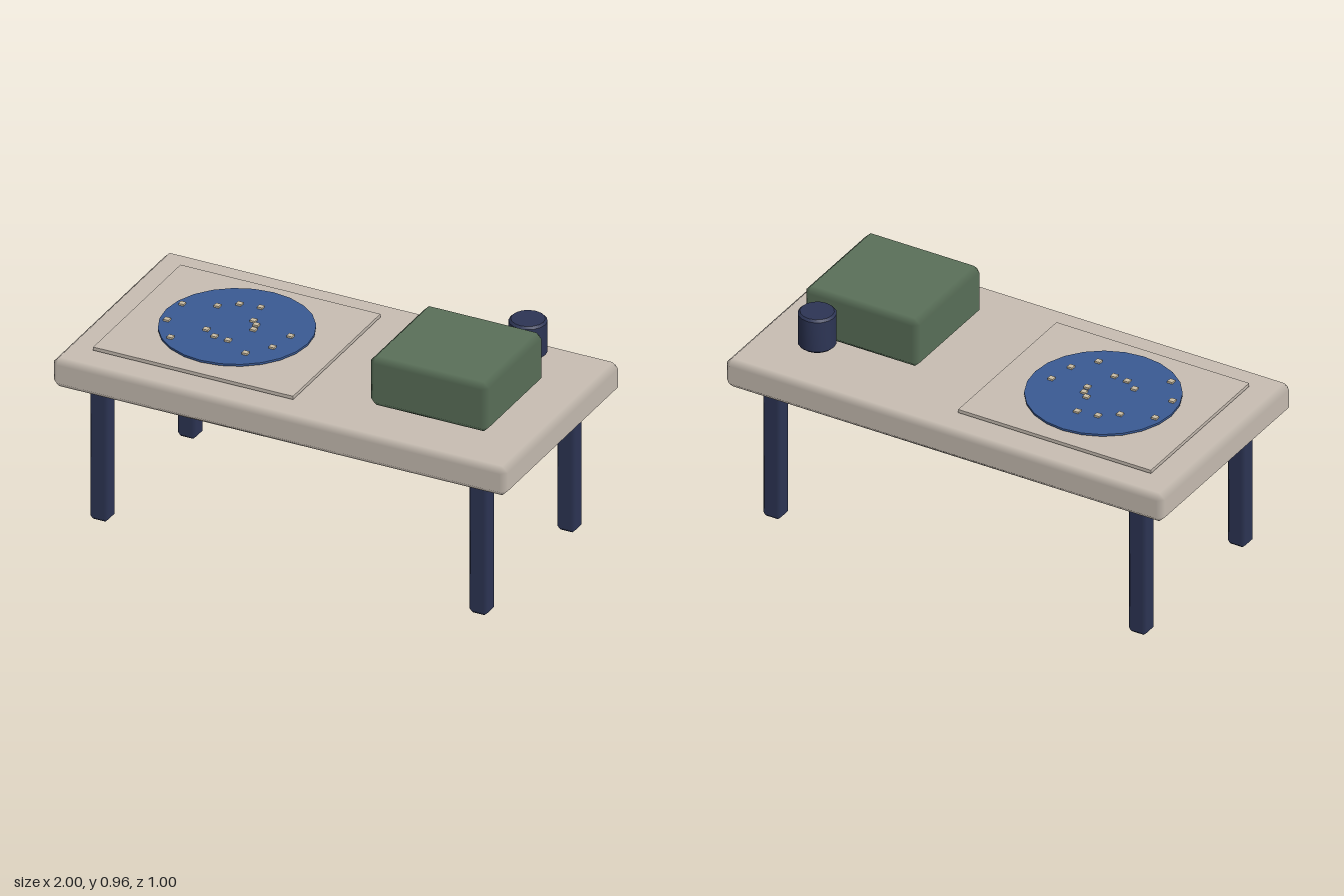
import * as THREE from 'three';
import { ConvexGeometry } from 'three/addons/geometries/ConvexGeometry.js';
import { toCreasedNormals } from 'three/addons/utils/BufferGeometryUtils.js';

// Box with a single bevel on every edge; flat faces, shading blends over the bevel
function bevelBox(w, h, d, b) {
  const half = [w / 2, h / 2, d / 2];
  const points = [];
  for (const sx of [-1, 1]) for (const sy of [-1, 1]) for (const sz of [-1, 1]) {
    for (let axis = 0; axis < 3; axis++) {
      const p = half.map((v, i) => (i === axis ? v : v - b));
      points.push(new THREE.Vector3(sx * p[0], sy * p[1], sz * p[2]));
    }
  }
  const geo = new ConvexGeometry(points);
  const pos = geo.attributes.position;
  const normals = geo.attributes.normal;
  for (let i = 0; i < pos.count; i++) {
    const p = [pos.getX(i), pos.getY(i), pos.getZ(i)];
    // each corner point takes the normal of the face it lies on
    const n = p.map((v, k) => (Math.abs(Math.abs(v) - half[k]) < b * 0.1 ? Math.sign(v) : 0));
    normals.setXYZ(i, n[0], n[1], n[2]);
  }
  return geo;
}

export function createModel() {
  const model = new THREE.Group();
  model.name = 'table';

  const material = (name, color) => {
    const m = new THREE.MeshStandardMaterial({ color });
    m.name = name;
    return m;
  };
  const beige = material('beige', 0xc8beb3);
  const navy = material('navy', 0x2d3555);
  const green = material('green', 0x5a7059);
  const blue = material('blue', 0x3a5a94);
  const sand = material('sand', 0xccbfa6);

  const add = (name, geo, mat, x, y, z, parent = model) => {
    const mesh = new THREE.Mesh(geo, mat);
    mesh.name = name;
    mesh.position.set(x, y, z);
    parent.add(mesh);
    return mesh;
  };

  // Table top and four legs
  add('tableTop', bevelBox(2, 0.13, 1, 0.025), beige, 0, 0.665, 0);
  const legGeo = bevelBox(0.08, 0.62, 0.08, 0.014);
  for (const x of [-0.835, 0.835]) for (const z of [-0.378, 0.378]) {
    add(`${z > 0 ? 'front' : 'back'}${x > 0 ? 'Left' : 'Right'}Leg`, legGeo, navy, x, 0.31, z);
  }

  // Sheet with a round chart on it
  add('sheet', new THREE.BoxGeometry(0.88, 0.015, 0.752), beige, -0.437, 0.743, 0);
  add('chartDisc', new THREE.CylinderGeometry(0.311, 0.311, 0.009, 24), blue, -0.437, 0.764, -0.002);

  // Scattered markers on the chart, as x and z
  const markers = new THREE.Group();
  markers.name = 'chartMarkers';
  model.add(markers);
  const spots = [
    [-0.508, -0.163], [-0.422, -0.177], [-0.578, -0.11], [-0.709, -0.062], [-0.398, -0.067],
    [-0.372, -0.041], [-0.364, -0.003], [-0.211, -0.021], [-0.703, 0.08], [-0.53, 0.08],
    [-0.476, 0.115], [-0.414, 0.12], [-0.233, 0.091], [-0.305, 0.182], [-0.626, 0.2],
  ];
  const markerGeo = new THREE.BoxGeometry(0.023, 0.009, 0.023);
  for (const [x, z] of spots) add('marker', markerGeo, sand, x, 0.772, z, markers);

  // Storage box
  add('storageBox', bevelBox(0.52, 0.22, 0.5, 0.024), green, 0.556, 0.853, 0.05);

  // Round pot with bevelled rims
  const r = 0.077, h = 0.153, b = 0.009;
  const profile = [[0, 0], [r - b, 0], [r, b], [r, h - b], [r - b, h], [0, h]]
    .map(([x, y]) => new THREE.Vector2(x, y));
  add('pot', toCreasedNormals(new THREE.LatheGeometry(profile, 16), 0.6), navy, 0.694, 0.79, -0.297);

  return model;
}
